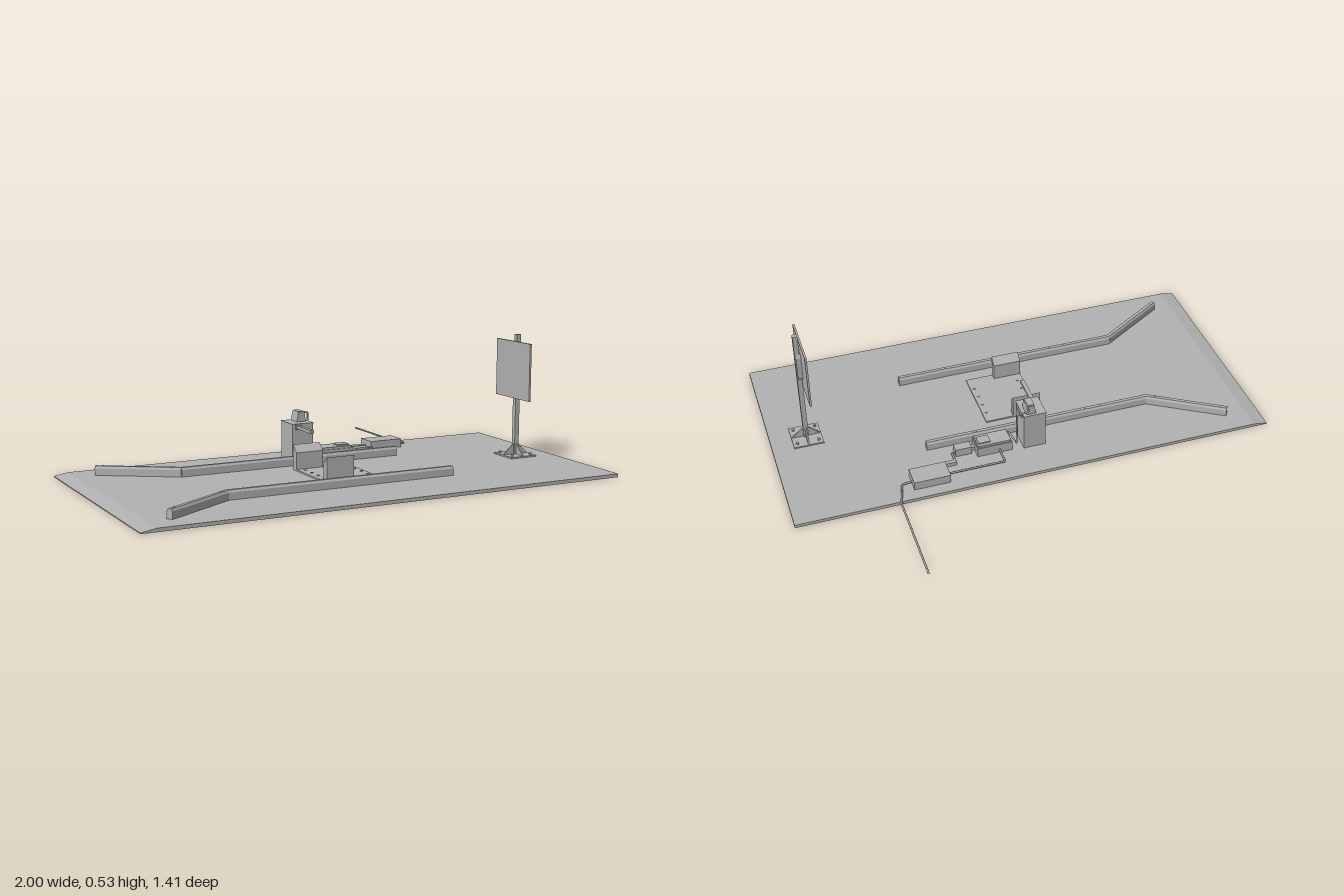
import * as THREE from 'three';

export function createModel() {
  const model = new THREE.Group();
  const grey = new THREE.MeshStandardMaterial({ color: 0xb2b2b2 });
  grey.name = 'plain grey';
  const FLOOR = 0.014;

  const add = (name, geometry, parent = model) => {
    const mesh = new THREE.Mesh(geometry, grey);
    mesh.name = name;
    parent.add(mesh);
    return mesh;
  };
  // Box given by its limits on each axis
  const box = (name, x0, x1, y0, y1, z0, z1, parent) => {
    const g = new THREE.BoxGeometry(x1 - x0, y1 - y0, z1 - z0);
    g.translate((x0 + x1) / 2, (y0 + y1) / 2, (z0 + z1) / 2);
    return add(name, g, parent);
  };
  const prism = (points, depth) => new THREE.ExtrudeGeometry(
    new THREE.Shape(points.map(([x, y]) => new THREE.Vector2(x, y))),
    { depth, bevelEnabled: false });
  // Cable with straight runs between its points
  const cable = (name, points, radius) => {
    const path = new THREE.CurvePath();
    const v = points.map((p) => new THREE.Vector3(...p));
    for (let i = 1; i < v.length; i++) path.add(new THREE.LineCurve3(v[i - 1], v[i]));
    add(name, new THREE.TubeGeometry(path, 96, radius, 8, false));
  };
  const bolt = (name, x, y, z, r = 0.006) => {
    const g = new THREE.CylinderGeometry(r, r, 0.003, 12);
    g.translate(x, y, z);
    add(name, g);
  };

  // Ground slab with a ramped entry edge
  const slab = prism([[-1, 0], [1, 0], [1, FLOOR], [-0.94, FLOOR], [-1, 0.004]], 1.005);
  slab.translate(0, 0, -0.305);
  add('groundSlab', slab);

  // Wheel guide rails: straight run plus flared entry, chamfered along the top
  const railSection = [[-0.0125, 0], [0.0125, 0], [0.0125, 0.028], [0.007, 0.037], [-0.007, 0.037], [-0.0125, 0.028]];
  const railPiece = (x0, z0, x1, z1, parent) => {
    const g = prism(railSection, Math.hypot(x1 - x0, z1 - z0));
    g.rotateY(Math.atan2(x1 - x0, z1 - z0));
    g.translate(x0, FLOOR, z0);
    add('railPiece', g, parent);
  };
  for (const [z, flareZ] of [[-0.028, -0.21], [0.42, 0.602]]) {
    const rail = new THREE.Group();
    rail.name = 'guideRail';
    model.add(rail);
    railPiece(0.4, z, -0.57, z, rail);
    railPiece(-0.565, z, -0.858, flareZ, rail);
    for (const x of [-0.36, -0.29, -0.07, 0.12, 0.19, 0.36]) bolt('railBolt', x, 0.0505, z);
    for (const t of [0.1, 0.92]) bolt('railBolt', -0.57 - 0.288 * t, 0.0505, z + (flareZ - z) * t);
  }

  // Floor plate with two bolt rows and two slope-topped blocks
  box('floorPlate', -0.118, 0.118, FLOOR, 0.02, 0.053, 0.348);
  for (const x of [-0.092, 0.1]) {
    for (const z of [0.112, 0.168, 0.224, 0.28]) bolt('plateBolt', x, 0.021, z);
  }
  for (const [outer, inner] of [[0.35, 0.32], [0.053, 0.083]]) {
    const outline = [[-outer, FLOOR], [-outer, 0.117], [-inner, 0.088], [-inner, FLOOR]];
    const g = prism(outer < inner ? outline : outline.reverse(), 0.118);
    g.rotateY(Math.PI / 2);
    g.translate(-0.118, 0, 0);
    add('slopedBlock', g);
  }

  // Cabinet tower, side slot, forward arm and sensor head
  box('tower', -0.073, 0.02, FLOOR, 0.178, -0.15, -0.046);
  box('towerLid', -0.075, 0.022, 0.176, 0.18, -0.153, -0.043);
  box('towerSlot', 0.02, 0.026, 0.16, 0.172, -0.13, -0.065);
  box('towerFrontLabel', -0.06, -0.035, 0.155, 0.175, -0.046, -0.04);
  box('arm', -0.058, -0.042, 0.161, 0.174, -0.046, 0.087);
  const head = prism([[-0.034, 0.18], [0.006, 0.18], [0.003, 0.219], [-0.026, 0.219]], 0.056);
  head.translate(0, 0, -0.142);
  add('sensorHead', head);
  box('headCap', -0.027, 0.001, 0.219, 0.222, -0.138, -0.09);

  // Control boxes along the floor
  box('controlBox', 0.068, 0.215, FLOOR, 0.055, -0.143, -0.064);
  box('controlLid', 0.072, 0.211, 0.055, 0.064, -0.139, -0.068);
  box('controlPanel', 0.155, 0.205, 0.064, 0.069, -0.126, -0.084);
  box('junctionBox', 0.232, 0.3, FLOOR, 0.048, -0.115, -0.076);
  box('plugBlock', 0.215, 0.232, 0.02, 0.036, -0.104, -0.086);
  box('smallConnector', 0.31, 0.36, FLOOR, 0.03, -0.164, -0.147);
  box('powerBox', 0.36, 0.51, FLOOR, 0.05, -0.255, -0.168);

  // Cables
  cable('headCable', [[0, 0.21, -0.13], [0.005, 0.21, -0.16], [0.052, 0.202, -0.16],
    [0.055, 0.06, -0.16], [0.055, 0.035, -0.06], [0.07, 0.035, -0.06]], 0.004);
  cable('controlCable', [[0.122, 0.03, -0.14], [0.122, 0.025, -0.215], [0.362, 0.025, -0.215]], 0.004);
  cable('linkCable', [[0.298, 0.024, -0.1], [0.312, 0.024, -0.1], [0.312, 0.024, -0.155]], 0.004);
  cable('supplyCable', [[0.508, 0.025, -0.215], [0.55, 0.02, -0.215],
    [0.576, 0.018, -0.305], [0.577, 0.005, -0.315], [0.577, 0.005, -0.706]], 0.004);

  // Sign post: pole, foot plate, gussets, clamp and panel
  const sign = new THREE.Group();
  sign.name = 'signPost';
  sign.position.set(0.85, 0, 0.203);
  model.add(sign);
  box('footPlate', -0.062, 0.062, FLOOR, 0.02, -0.065, 0.065, sign);
  box('pole', -0.01, 0.01, 0.02, 0.527, -0.01, 0.01, sign);
  for (let i = 0; i < 4; i++) {
    const g = prism([[0.008, 0.02], [0.058, 0.02], [0.052, 0.027], [0.008, 0.066]], 0.006);
    g.translate(0, 0, -0.003);
    g.rotateY(i * Math.PI / 2);
    add('gusset', g, sign);
    const b = new THREE.CylinderGeometry(0.006, 0.006, 0.008, 6);
    b.translate((i & 1 ? 1 : -1) * 0.045, 0.024, (i & 2 ? 1 : -1) * 0.045);
    add('footBolt', b, sign);
  }
  const clamp = prism([[-0.01, 0.315], [0.01, 0.315], [0.017, 0.33], [0.017, 0.425],
    [0.01, 0.44], [-0.01, 0.44], [-0.017, 0.425], [-0.017, 0.33]], 0.02);
  clamp.rotateY(Math.PI / 2);
  clamp.translate(-0.013, 0, 0);
  add('clamp', clamp, sign);
  box('panel', -0.021, -0.013, 0.26, 0.499, -0.12, 0.12, sign);

  return model;
}
